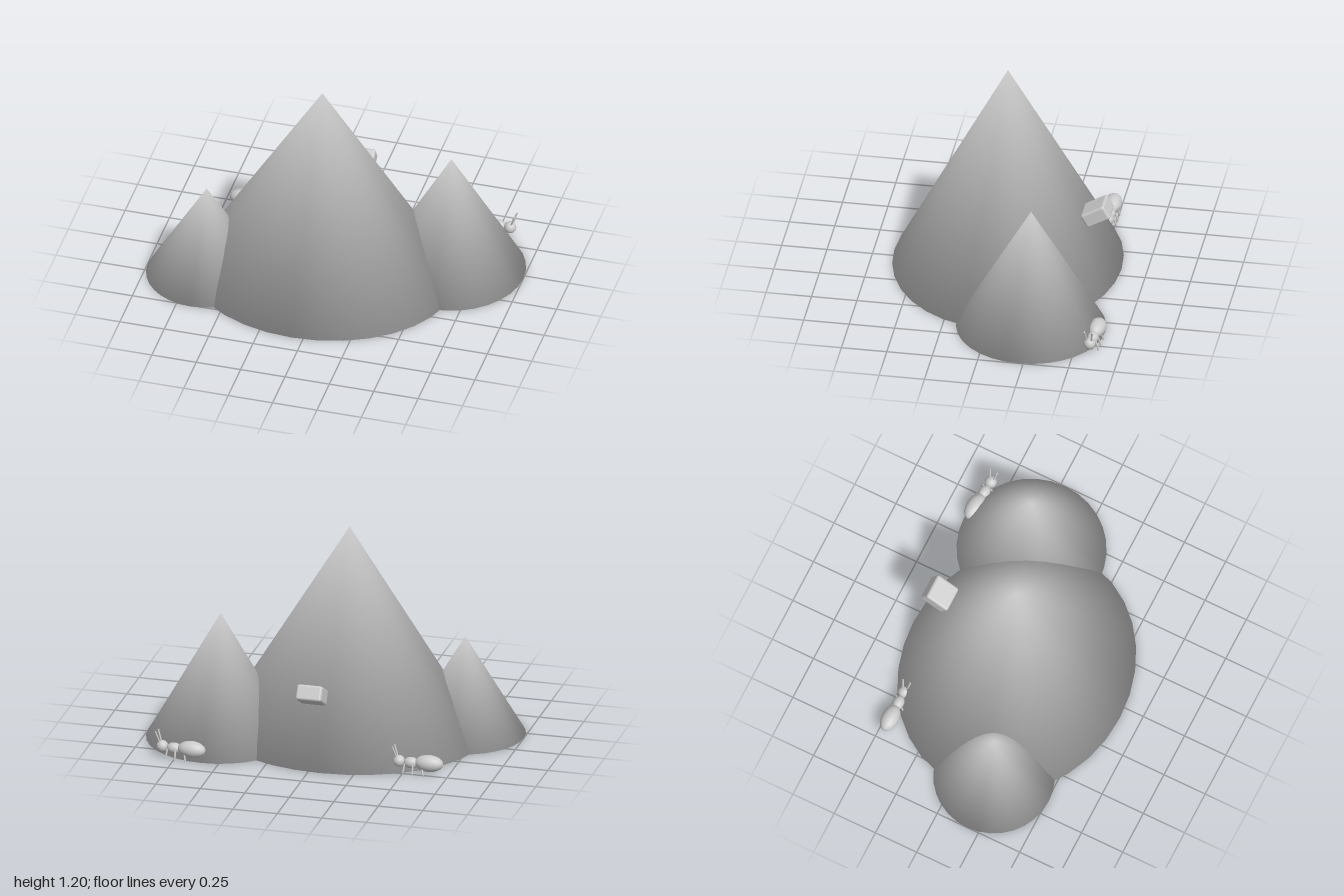
import * as THREE from 'three';
import { RoundedBoxGeometry } from 'three/addons/geometries/RoundedBoxGeometry.js';

const grey = new THREE.MeshStandardMaterial({ color: 0xcccccc });
grey.name = 'plain grey';

function mesh(name, geometry, parent) {
  const m = new THREE.Mesh(geometry, grey);
  m.name = name;
  parent.add(m);
  return m;
}

// Closed cone, softly shaded all the way over its rim and onto its base
function hill(name, x, z, rx, rz, height, parent) {
  const g = new THREE.ConeGeometry(1, 1, 32, 1);
  g.translate(0, 0.5, 0).scale(rx, height, rz);
  const p = g.attributes.position;
  const n = new THREE.Vector3();
  for (let i = 0; i < p.count; i++) {
    n.set(p.getX(i) / rx, 0, p.getZ(i) / rz);
    if (n.length() < 0.5) n.set(0, p.getY(i) > 0 ? 1 : -1, 0);
    else n.set(n.x / rx, 0, n.z / rz).normalize().multiplyScalar(0.866).setY(-0.5);
    g.attributes.normal.setXYZ(i, n.x, n.y, n.z);
  }
  mesh(name, g, parent).position.set(x, 0, z);
}

function ellipsoid(name, x, y, rx, ry, rz, parent) {
  const m = mesh(name, new THREE.SphereGeometry(1, 20, 14).scale(rx, ry, rz), parent);
  m.position.set(x, y, 0);
}

// Thin round rod between two points
function rod(name, a, b, r, parent) {
  const from = new THREE.Vector3(...a);
  const to = new THREE.Vector3(...b);
  const d = to.clone().sub(from);
  const m = mesh(name, new THREE.CylinderGeometry(r, r, d.length(), 8), parent);
  m.position.copy(from).add(to).multiplyScalar(0.5);
  m.quaternion.setFromUnitVectors(new THREE.Vector3(0, 1, 0), d.normalize());
}

// Ant heading along +x, with its feet on y = 0
function ant(name, x, z, turn, parent) {
  const g = new THREE.Group();
  g.name = name;
  ellipsoid('abdomen', -0.1, 0.06, 0.08, 0.046, 0.048, g);
  ellipsoid('thorax', 0, 0.055, 0.042, 0.031, 0.031, g);
  ellipsoid('head', 0.068, 0.058, 0.033, 0.033, 0.033, g);
  for (const s of [-1, 1]) {
    rod('antenna', [0.078, 0.08, s * 0.012], [0.1, 0.145, s * 0.022], 0.005, g);
    for (const lx of [-0.065, -0.015, 0.03]) {
      rod('leg', [lx, 0.055, s * 0.024], [lx * 1.2, 0.004, s * 0.042], 0.005, g);
    }
  }
  g.position.set(x, 0, z);
  g.rotation.y = turn;
  parent.add(g);
}

export function createModel() {
  const model = new THREE.Group();
  model.name = 'antHills';

  // Three overlapping hills
  hill('mainHill', -0.065, 0.015, 0.735, 0.625, 1.2, model);
  hill('leftHill', 0.595, -0.225, 0.405, 0.408, 0.72, model);
  hill('rightHill', -0.67, 0.18, 0.33, 0.33, 0.56, model);

  // Block jutting from the back slope
  const block = mesh('block', new RoundedBoxGeometry(0.145, 0.087, 0.148, 3, 0.014), model);
  block.position.set(0.012, 0.402, -0.49);
  block.rotation.x = Math.PI / 6;

  // Two ants at the back
  ant('leftAnt', 0.757, -0.592, -0.08, model);
  ant('rightAnt', -0.54, -0.465, 0, model);
  return model;
}
